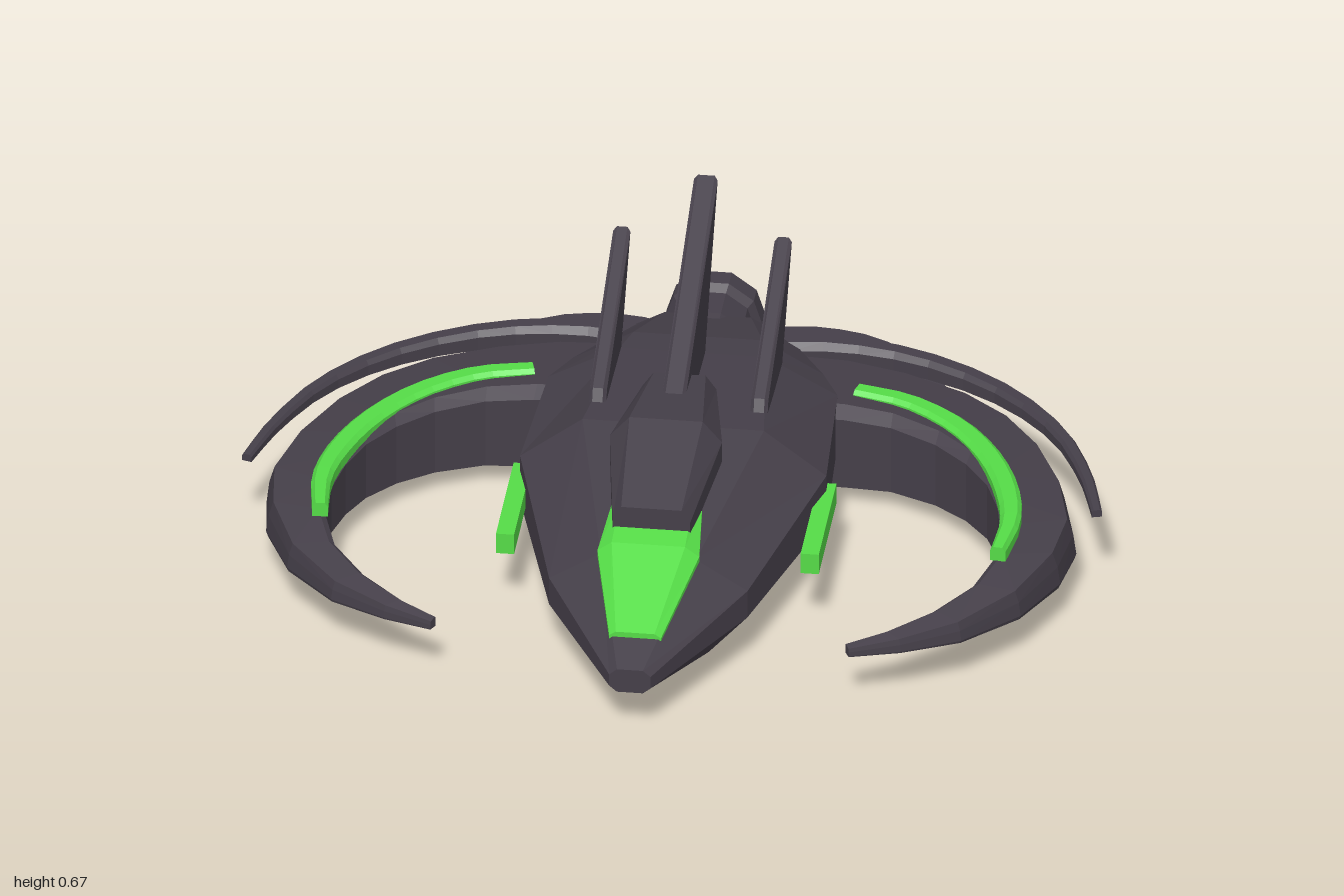
import * as THREE from 'three';

const dark = new THREE.MeshStandardMaterial({ color: 0x453f49 });
dark.name = 'dark hull';
const green = new THREE.MeshStandardMaterial({ color: 0x55dc47 });
green.name = 'glowing green';

// Faceted solid through matching rings of [x, y, z] points, capped at both ends
function loft(rings) {
  const tris = [];
  const n = rings[0].length;
  for (let i = 0; i < rings.length - 1; i++) {
    for (let j = 0; j < n; j++) {
      const k = (j + 1) % n;
      const a = rings[i][j], b = rings[i][k], c = rings[i + 1][k], d = rings[i + 1][j];
      tris.push([a, b, c], [a, c, d]);
    }
  }
  const last = rings[rings.length - 1];
  for (let j = 1; j < n - 1; j++) {
    tris.push([rings[0][0], rings[0][j + 1], rings[0][j]], [last[0], last[j], last[j + 1]]);
  }
  // Turn the faces outward when the enclosed volume comes out negative
  const v = (p) => new THREE.Vector3(...p);
  const volume = tris.reduce((s, [a, b, c]) => s + v(a).dot(v(b).cross(v(c))), 0);
  const flat = tris.flatMap(([a, b, c]) => (volume > 0 ? [a, b, c] : [a, c, b])).flat();
  const g = new THREE.BufferGeometry();
  g.setAttribute('position', new THREE.Float32BufferAttribute(flat, 3));
  g.computeVertexNormals();
  return g;
}

// Symmetric eight-sided sections: z, top half width, top y, side half width, upper y, lower y, bottom half width, bottom y
function hullRings(sections) {
  return sections.map(([z, tw, ty, sw, uy, ly, bw, by]) => [
    [tw, ty, z], [sw, uy, z], [sw, ly, z], [bw, by, z],
    [-bw, by, z], [-sw, ly, z], [-sw, uy, z], [-tw, ty, z],
  ]);
}

// Curved bar along points of [x, y, z, half width, half height]
function blade(points, side, steps) {
  const curve = new THREE.CatmullRomCurve3(points.map((p) => new THREE.Vector3(p[0], p[1], p[2])));
  const rings = [];
  for (let i = 0; i <= steps; i++) {
    const t = i / steps;
    const f = t * (points.length - 1);
    const k = Math.min(Math.floor(f), points.length - 2);
    const mix = (c) => THREE.MathUtils.lerp(points[k][c], points[k + 1][c], f - k);
    const w = mix(3), h = mix(4);
    const p = curve.getPoint(t), d = curve.getTangent(t);
    const len = Math.hypot(d.x, d.z);
    const nx = d.z / len, nz = -d.x / len;
    const at = (u, y) => [side * (p.x + nx * u * w), p.y + y * h, p.z + nz * u * w];
    rings.push([at(-1, -1), at(-1, 0.4), at(-0.6, 1), at(0.6, 1), at(1, 0.4), at(1, -1)]);
  }
  return loft(rings);
}

// Upright swept fin from a [z, y] outline, with bevelled edges
function fin(outline, width) {
  const shape = new THREE.Shape(outline.map(([z, y]) => new THREE.Vector2(-z, y)));
  const bevel = 0.008;
  const g = new THREE.ExtrudeGeometry(shape, {
    depth: width - 2 * bevel, bevelEnabled: true, bevelSegments: 1,
    bevelSize: bevel, bevelOffset: -bevel, bevelThickness: bevel,
  });
  g.translate(0, 0, -width / 2 + bevel);
  g.rotateY(Math.PI / 2);
  return g;
}

export function createModel() {
  const model = new THREE.Group();
  const add = (name, geometry, material, x = 0, y = 0, z = 0) => {
    const mesh = new THREE.Mesh(geometry, material);
    mesh.name = name;
    mesh.position.set(x, y, z);
    model.add(mesh);
    return mesh;
  };

  // Main body
  add('hull', loft(hullRings([
    [0.785, 0.03, 0.17, 0.048, 0.155, 0.125, 0.03, 0.11],
    [0.45, 0.11, 0.275, 0.23, 0.2, 0.13, 0.14, 0.03],
    [0.0, 0.21, 0.36, 0.355, 0.25, 0.13, 0.19, 0.003],
    [-0.36, 0.17, 0.34, 0.335, 0.25, 0.12, 0.18, 0.02],
    [-0.45, 0.15, 0.33, 0.29, 0.25, 0.12, 0.17, 0.028],
    [-0.63, 0.1, 0.28, 0.19, 0.23, 0.11, 0.12, 0.05],
  ])), dark);

  // Raised block behind the canopy
  add('dorsalBlock', loft(hullRings([
    [0.395, 0.07, 0.37, 0.09, 0.34, 0.3, 0.09, 0.27],
    [0.13, 0.085, 0.452, 0.13, 0.4, 0.35, 0.12, 0.32],
    [-0.12, 0.06, 0.425, 0.085, 0.39, 0.35, 0.085, 0.33],
  ])), dark);

  // Canopy
  add('canopy', loft(hullRings([
    [0.69, 0.045, 0.213, 0.06, 0.203, 0.19, 0.05, 0.17],
    [0.45, 0.085, 0.307, 0.118, 0.283, 0.265, 0.1, 0.25],
    [0.3, 0.085, 0.333, 0.105, 0.315, 0.3, 0.09, 0.27],
  ])), green);

  // Fins
  add('centreFin', fin([[0, 0.432], [-0.6, 0.672], [-0.51, 0.54], [-0.36, 0.32], [-0.05, 0.34]], 0.055), dark);
  for (const s of [1, -1]) {
    add('sideFin', fin([[-0.08, 0.34], [-0.1, 0.385], [-0.54, 0.556], [-0.36, 0.32]], 0.04), dark, s * 0.187);
  }

  // Crescent wings: outer x, z, inner x, z, bottom y, top y
  const wing = [
    [0.15, -0.61, 0.2, -0.28, 0.05, 0.255],
    [0.33, -0.605, 0.36, -0.285, 0.05, 0.25],
    [0.47, -0.57, 0.47, -0.27, 0.055, 0.245],
    [0.62, -0.505, 0.58, -0.215, 0.06, 0.24],
    [0.73, -0.42, 0.66, -0.145, 0.066, 0.235],
    [0.82, -0.3, 0.72, -0.06, 0.073, 0.232],
    [0.895, -0.14, 0.755, 0.03, 0.08, 0.228],
    [0.938, 0.03, 0.775, 0.13, 0.09, 0.223],
    [0.92, 0.18, 0.775, 0.24, 0.1, 0.214],
    [0.85, 0.35, 0.74, 0.35, 0.112, 0.2],
    [0.73, 0.49, 0.66, 0.455, 0.122, 0.185],
    [0.6, 0.565, 0.56, 0.54, 0.13, 0.172],
    [0.485, 0.61, 0.475, 0.59, 0.137, 0.162],
  ];
  for (const s of [1, -1]) {
    add('crescentWing', loft(wing.map(([xo, zo, xi, zi, b, t]) => {
      const at = (u, h) => [s * (xi + (xo - xi) * u), b + (t - b) * h, zi + (zo - zi) * u];
      return [at(0, 0), at(0, 0.9), at(0.12, 1), at(0.88, 0.85), at(0.96, 0.5), at(1, 0.1), at(0.97, 0)];
    })), dark);

    // Glowing strip on the wing
    add('wingStrip', blade([
      [0.375, 0.238, -0.4, 0.024, 0.015], [0.5, 0.238, -0.365, 0.026, 0.015],
      [0.62, 0.236, -0.28, 0.028, 0.015], [0.71, 0.234, -0.16, 0.028, 0.016],
      [0.77, 0.232, -0.02, 0.028, 0.017], [0.797, 0.23, 0.12, 0.024, 0.018],
      [0.785, 0.228, 0.26, 0.018, 0.018],
    ], s, 16), green);

    // Upper and lower trailing tendrils
    add('upperTendril', blade([
      [0.1, 0.215, -0.59, 0.035, 0.035], [0.3, 0.22, -0.61, 0.028, 0.03],
      [0.5, 0.222, -0.575, 0.025, 0.024], [0.7, 0.22, -0.47, 0.022, 0.02],
      [0.85, 0.217, -0.315, 0.018, 0.016], [0.94, 0.214, -0.13, 0.015, 0.012],
      [0.985, 0.212, 0.025, 0.012, 0.009],
    ], s, 14), dark);
    add('lowerTendril', blade([
      [0.05, 0.14, -0.69, 0.04, 0.045], [0.2, 0.14, -0.737, 0.048, 0.045],
      [0.34, 0.143, -0.725, 0.045, 0.04], [0.47, 0.15, -0.655, 0.035, 0.03],
      [0.56, 0.16, -0.55, 0.01, 0.012],
    ], s, 10), dark);

    // Glowing bars beside the hull
    add('sideBar', new THREE.BoxGeometry(0.042, 0.052, 0.32), green, s * 0.353, 0.185, 0.127);
  }

  // Engine with a hollow glowing nozzle
  const nozzle = [[0.09, 0.23], [0.1, 0.16], [0.1, 0.07], [0.115, 0.05], [0.115, 0], [0.085, 0]];
  const lathe = (pts) => {
    const g = new THREE.LatheGeometry(pts.map(([r, y]) => new THREE.Vector2(r, y)), 10, Math.PI / 10).toNonIndexed();
    g.rotateX(Math.PI / 2);
    g.computeVertexNormals();
    return g;
  };
  dark.side = THREE.DoubleSide;
  green.side = THREE.DoubleSide;
  add('engineHousing', lathe(nozzle), dark, 0, 0.195, -0.783);
  add('engineGlow', lathe([[0.085, 0], [0.07, 0.09], [0, 0.09]]), green, 0, 0.195, -0.783);

  return model;
}
